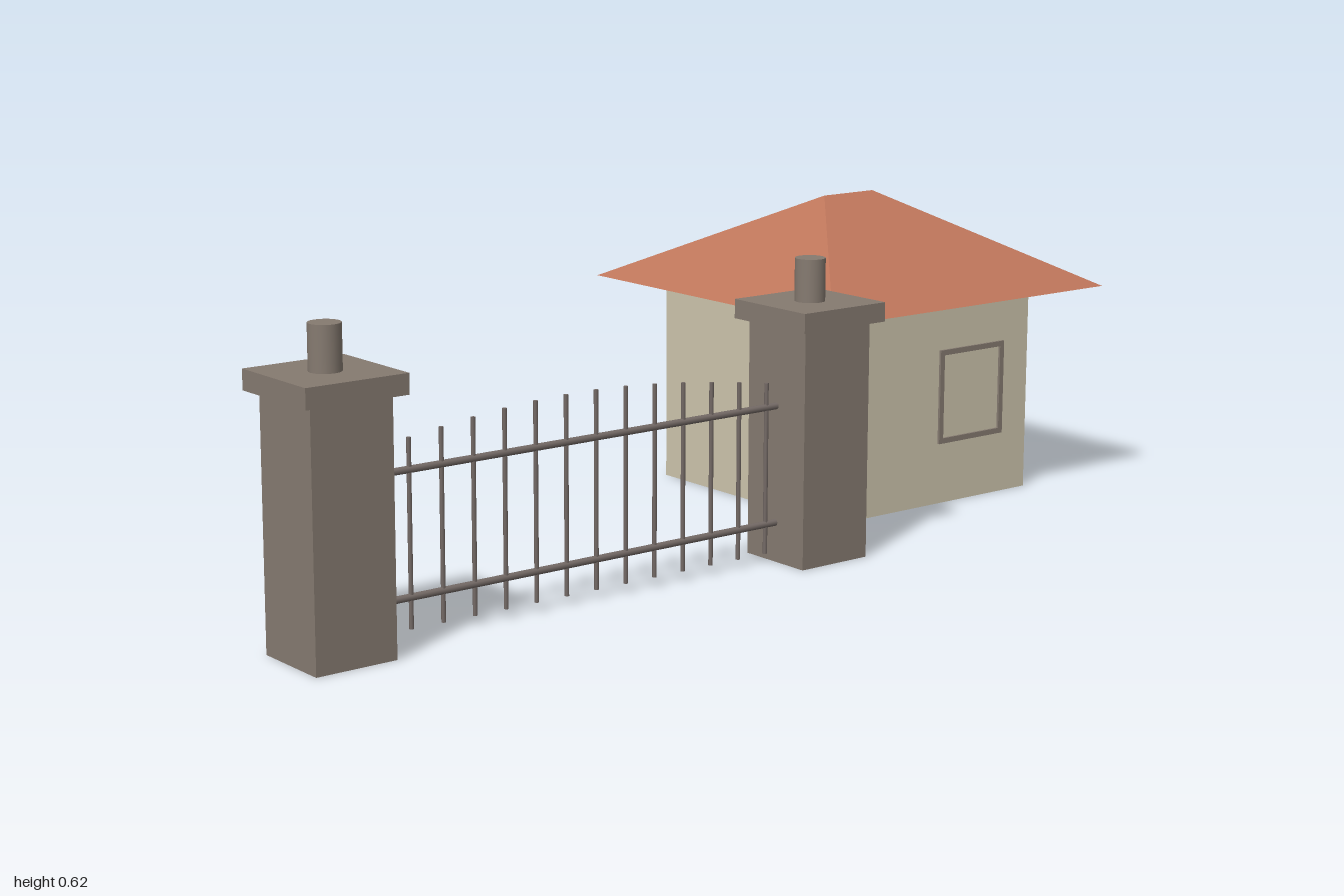
import * as THREE from 'three';

const mat = (name, color, side = THREE.FrontSide) => {
  const m = new THREE.MeshStandardMaterial({ color, side });
  m.name = name;
  return m;
};

export function createModel() {
  const stone = mat('stone', 0x857a70, THREE.DoubleSide);
  const iron = mat('iron', 0x746a66);
  const plaster = mat('plaster', 0xcdc5ad, THREE.DoubleSide);
  const tile = mat('roofTile', 0xbd755a, THREE.DoubleSide);

  const model = new THREE.Group();
  model.name = 'gatehouse';

  const add = (parent, name, geometry, material, x = 0, y = 0, z = 0) => {
    const mesh = new THREE.Mesh(geometry, material);
    mesh.name = name;
    mesh.position.set(x, y, z);
    parent.add(mesh);
    return mesh;
  };

  const group = (name) => {
    const g = new THREE.Group();
    g.name = name;
    model.add(g);
    return g;
  };

  // Four upright walls, open at top and bottom
  const squareWalls = (width, height) => {
    const r = width / Math.SQRT2;
    const g = new THREE.CylinderGeometry(r, r, height, 4, 1, true, Math.PI / 4).toNonIndexed();
    g.computeVertexNormals();
    return g;
  };

  // Gate pillars
  const gateZ = 0.338;
  const pillarX = [-0.9, 0.167];
  for (const x of pillarX) {
    const pillar = group(x < 0 ? 'rightPillar' : 'leftPillar');
    add(pillar, 'shaft', squareWalls(0.16, 0.458), stone, x, 0.229, gateZ);
    add(pillar, 'cap', new THREE.BoxGeometry(0.2, 0.037, 0.2), stone, x, 0.4765, gateZ);
    add(pillar, 'finial', new THREE.CylinderGeometry(0.029, 0.029, 0.082, 24), stone, x, 0.536, gateZ);
  }

  // Iron gate: two rails and bars whose tops rise in a gentle arch
  const gate = group('gate');
  const railStart = pillarX[0] + 0.075, railEnd = pillarX[1] - 0.075;
  for (const y of [0.077, 0.303]) {
    const rail = add(gate, 'rail', new THREE.CylinderGeometry(0.0065, 0.0065, railEnd - railStart, 10),
      iron, (railStart + railEnd) / 2, y, gateZ);
    rail.rotation.z = Math.PI / 2;
  }
  const barCount = 14;
  for (let i = 0; i < barCount; i++) {
    const t = i / (barCount - 1);
    const bottom = 0.02, top = 0.35 + 0.04 * Math.sin(Math.PI * t);
    add(gate, 'bar', new THREE.CylinderGeometry(0.0042, 0.0042, top - bottom, 8),
      iron, -0.805 + 0.867 * t, (top + bottom) / 2, gateZ);
  }

  // House walls
  const house = group('house');
  const hx = 0.624, hz = -0.063, wallWidth = 0.535, eave = 0.43;
  add(house, 'walls', squareWalls(wallWidth, eave), plaster, hx, eave / 2, hz);

  // Hipped roof, open underneath
  const half = 0.373, ridge = 0.067, rise = 0.185;
  const A = [-half, 0, half], B = [half, 0, half], C = [half, 0, -half], D = [-half, 0, -half];
  const P = [-ridge, rise, 0], Q = [ridge, rise, 0];
  const faces = [A, B, Q, A, Q, P, C, D, P, C, P, Q, B, C, Q, D, A, P];
  const roof = new THREE.BufferGeometry();
  roof.setAttribute('position', new THREE.Float32BufferAttribute(faces.flat(), 3));
  roof.computeVertexNormals();
  add(house, 'roof', roof, tile, hx + 0.002, eave, hz);

  // Window frame on the front wall
  const rect = (Type, w, h) => new Type([
    new THREE.Vector2(-w / 2, -h / 2), new THREE.Vector2(w / 2, -h / 2),
    new THREE.Vector2(w / 2, h / 2), new THREE.Vector2(-w / 2, h / 2),
  ]);
  const frontZ = hz + wallWidth / 2;
  const frame = rect(THREE.Shape, 0.18, 0.195);
  frame.holes.push(rect(THREE.Path, 0.158, 0.173));
  add(house, 'windowFrame', new THREE.ExtrudeGeometry(frame, { depth: 0.005, bevelEnabled: false }),
    stone, 0.729, 0.2235, frontZ);

  // Shutter and door on the inside of the front wall
  add(house, 'windowShutter', new THREE.BoxGeometry(0.18, 0.195, 0.006), stone, 0.729, 0.2235, frontZ - 0.005);
  add(house, 'door', new THREE.BoxGeometry(0.125, 0.3, 0.006), stone, 0.49, 0.15, frontZ - 0.005);

  return model;
}
